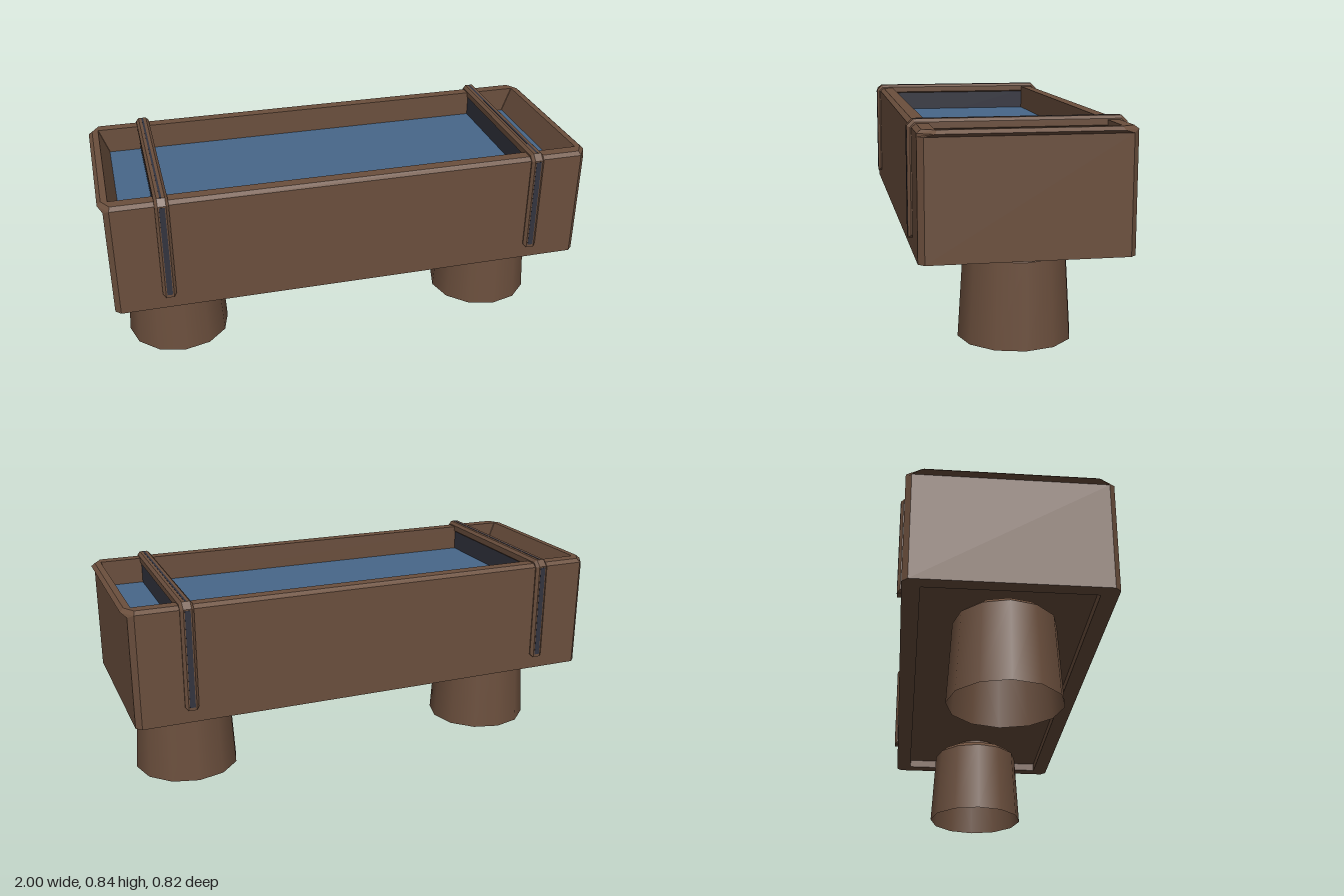
import * as THREE from 'three';

// Joins rectangular rings with clipped corners into a flat-shaded shell.
// Each ring: [halfX, halfZ, y, cornerX, cornerZ]
function ringShell(rings) {
  const loops = rings.map(([x, z, y, cx, cz]) => {
    const a = x - cx, b = z - cz;
    return [[x, b], [x, -b], [a, -z], [-a, -z], [-x, -b], [-x, b], [-a, z], [a, z]]
      .map(([px, pz]) => [px, y, pz]);
  });
  const pos = [];
  for (let i = 0; i < loops.length - 1; i++) {
    for (let j = 0; j < 8; j++) {
      const k = (j + 1) % 8;
      const a = loops[i][j], b = loops[i][k], c = loops[i + 1][k], d = loops[i + 1][j];
      pos.push(...a, ...b, ...c, ...a, ...c, ...d);
    }
  }
  const geo = new THREE.BufferGeometry();
  geo.setAttribute('position', new THREE.Float32BufferAttribute(pos, 3));
  geo.computeVertexNormals();
  return geo;
}

// Extrudes a z/y outline along x with chamfered edges, centred on x = 0
function acrossTrough(points, depth, bevel) {
  const shape = new THREE.Shape(points.map(([z, y]) => new THREE.Vector2(z, y)));
  const geo = new THREE.ExtrudeGeometry(shape, {
    depth, bevelSegments: 1, bevelThickness: bevel, bevelSize: bevel, bevelOffset: -bevel,
  });
  geo.translate(0, 0, -depth / 2);
  geo.rotateY(Math.PI / 2);
  return geo;
}

export function createModel() {
  const group = new THREE.Group();
  const brown = new THREE.MeshStandardMaterial({ color: 0x6b4f3d, side: THREE.DoubleSide });
  brown.name = 'brown';
  const water = new THREE.MeshStandardMaterial({ color: 0x47678a });
  water.name = 'water blue';
  const dark = new THREE.MeshStandardMaterial({ color: 0x33343f });
  dark.name = 'dark metal';

  const add = (name, geo, mat, x = 0, y = 0, z = 0, parent = group) => {
    const mesh = new THREE.Mesh(geo, mat);
    mesh.name = name;
    mesh.position.set(x, y, z);
    parent.add(mesh);
  };

  // Basin walls: underside ledge, outer wall, overhanging rim, sloped inner ends
  add('basin', ringShell([
    [0.925, 0.325, 0.39, 0.002, 0.002],
    [0.925, 0.325, 0.35, 0.002, 0.002],
    [0.982, 0.392, 0.35, 0.022, 0.022],
    [0.982, 0.392, 0.795, 0.022, 0.022],
    [1.0, 0.392, 0.807, 0.04, 0.06],
    [0.985, 0.375, 0.82, 0.03, 0.05],
    [0.96, 0.33, 0.82, 0.002, 0.002],
    [0.915, 0.33, 0.70, 0.002, 0.002],
    [0.915, 0.33, 0.39, 0.002, 0.002],
  ]), brown);
  add('floor', new THREE.BoxGeometry(1.86, 0.02, 0.66), brown, 0, 0.395);
  add('waterSurface', new THREE.PlaneGeometry(1.85, 0.67).rotateX(-Math.PI / 2), water, 0, 0.714);

  // Chamfered straps over the rim, dark inlays and a dark divider under each crossbar
  const strapGeo = acrossTrough([[0.408, 0.405], [0.408, 0.812], [0.384, 0.836], [-0.384, 0.836],
    [-0.408, 0.812], [-0.408, 0.405], [-0.36, 0.405], [-0.36, 0.79], [0.36, 0.79], [0.36, 0.405]], 0.032, 0.011);
  const dividerGeo = new THREE.BoxGeometry(0.044, 0.19, 0.67);
  const sideInlayGeo = new THREE.BoxGeometry(0.022, 0.39, 0.006);
  const topInlayGeo = new THREE.BoxGeometry(0.008, 0.006, 0.76);

  // Tapered round legs with a chamfered shoulder, open underneath
  const shaftGeo = new THREE.CylinderGeometry(0.198, 0.218, 0.325, 12, 1, true);
  const shoulderGeo = new THREE.CylinderGeometry(0.168, 0.198, 0.025, 12);
  const neckGeo = new THREE.CylinderGeometry(0.1, 0.1, 0.04, 12, 1, true);

  for (const [side, s] of [['left', 1], ['right', -1]]) {
    const brace = new THREE.Group();
    brace.name = side + 'Brace';
    brace.position.x = s * 0.765;
    group.add(brace);
    add('strap', strapGeo, brown, 0, 0, 0, brace);
    add('divider', dividerGeo, dark, 0, 0.71, 0, brace);
    add('topInlay', topInlayGeo, dark, 0, 0.834, 0, brace);
    for (const z of [0.406, -0.406]) add('sideInlay', sideInlayGeo, dark, 0, 0.612, z, brace);

    const leg = new THREE.Group();
    leg.name = side + 'Leg';
    leg.position.x = s * 0.71;
    group.add(leg);
    add('shaft', shaftGeo, brown, 0, 0.1625, 0, leg);
    add('shoulder', shoulderGeo, brown, 0, 0.3375, 0, leg);
    add('neck', neckGeo, brown, 0, 0.37, 0, leg);
  }
  return group;
}
